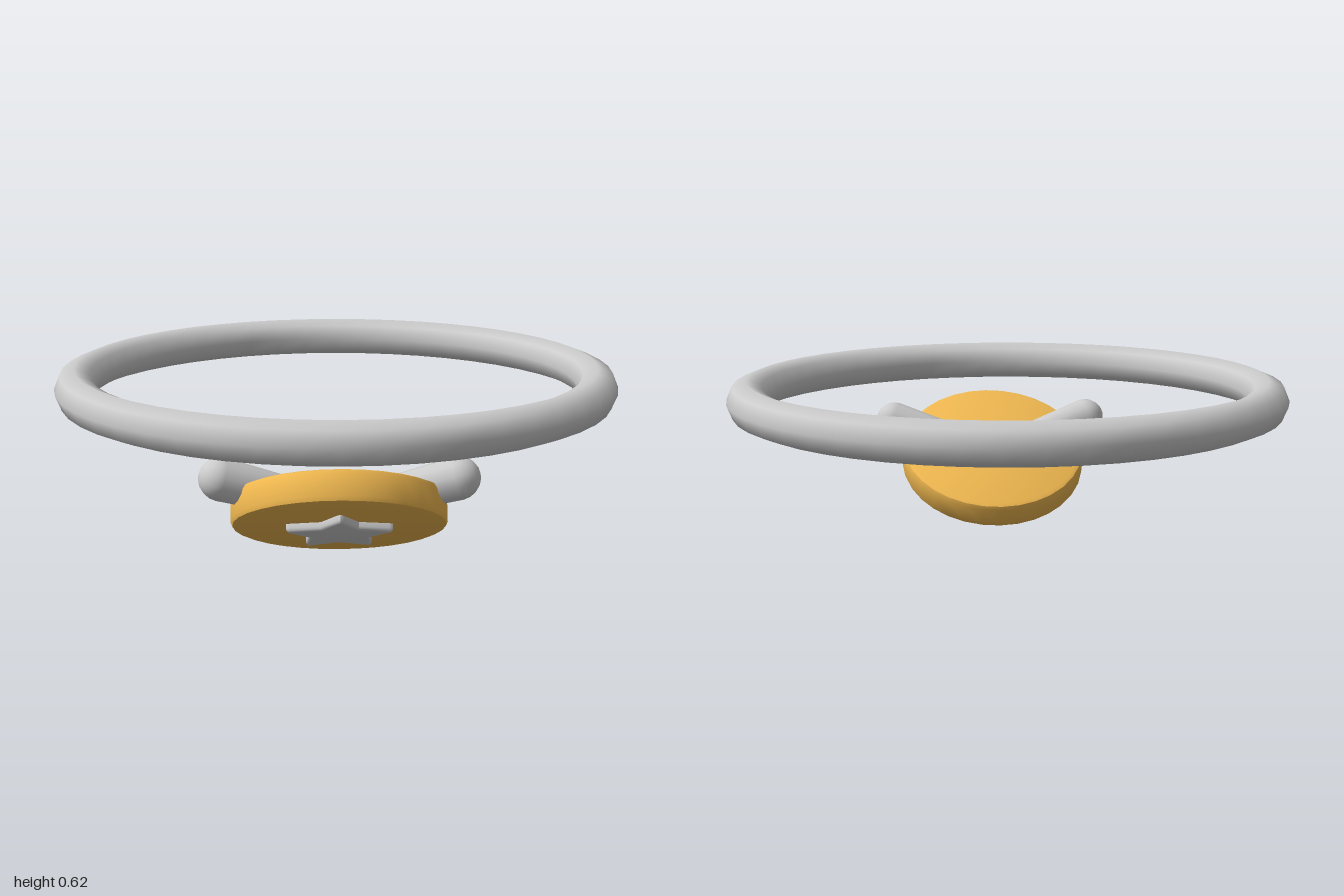
import * as THREE from 'three';
import { toCreasedNormals } from 'three/addons/utils/BufferGeometryUtils.js';

const grey = new THREE.MeshStandardMaterial({ color: 0xcccccc });
const gold = new THREE.MeshStandardMaterial({ color: 0xf0b850 });

function addMesh(parent, name, geometry, material) {
  const mesh = new THREE.Mesh(geometry, material);
  mesh.name = name;
  parent.add(mesh);
  return mesh;
}

// Five-pointed star with softened tips
function starShape(outer, inner) {
  const at = (r, i) => new THREE.Vector2(
    r * Math.sin(i * Math.PI / 5), r * Math.cos(i * Math.PI / 5));
  const shape = new THREE.Shape();
  const start = at(inner, -1);
  shape.moveTo(start.x, start.y);
  for (let i = 0; i < 10; i += 2) {
    const before = at(inner, i - 1), tip = at(outer, i), after = at(inner, i + 1);
    const a = before.clone().lerp(tip, 0.82), b = after.clone().lerp(tip, 0.82);
    shape.lineTo(a.x, a.y);
    shape.quadraticCurveTo(tip.x, tip.y, b.x, b.y);
    if (i < 8) shape.lineTo(after.x, after.y);
  }
  return shape;
}

// Tapered rod along +y with a rounded far end
function armGeometry(length, thin, thick) {
  const points = [new THREE.Vector2(0, 0), new THREE.Vector2(thin, 0)];
  for (let i = 0; i <= 5; i++) {
    const a = i / 5 * Math.PI / 2;
    points.push(new THREE.Vector2(i === 5 ? 0 : thick * Math.cos(a), length + thick * Math.sin(a)));
  }
  return new THREE.LatheGeometry(points, 12);
}

export function createModel() {
  const model = new THREE.Group();
  model.name = 'collar';

  // Horizontal band
  const band = addMesh(model, 'band', new THREE.TorusGeometry(0.927, 0.072, 8, 48), grey);
  band.rotation.x = Math.PI / 2;
  band.position.y = 0.55;

  // Tilted tag: disc with bevelled rims, star on the underside
  const tag = new THREE.Group();
  tag.name = 'tag';
  tag.position.set(0, 0.22, 0.535);
  tag.rotation.x = -Math.PI / 6;
  model.add(tag);

  const profile = [[0, -0.055], [0.338, -0.055], [0.352, -0.049], [0.358, -0.035],
    [0.358, 0.035], [0.352, 0.049], [0.338, 0.055], [0, 0.055]]
    .map(([r, y]) => new THREE.Vector2(r, y));
  addMesh(tag, 'disc', toCreasedNormals(new THREE.LatheGeometry(profile, 32), 0.6), gold);

  const starGeometry = new THREE.ExtrudeGeometry(starShape(0.193, 0.105), {
    depth: 0.02, curveSegments: 4,
    bevelThickness: 0.014, bevelSize: 0.014, bevelOffset: -0.014, bevelSegments: 3,
  });
  starGeometry.rotateX(Math.PI / 2);
  const star = addMesh(tag, 'star', toCreasedNormals(starGeometry, 0.7), grey);
  star.position.y = -0.05;

  // Two arms spreading from the disc centre
  const root = new THREE.Vector3(0, 0.23, 0.53);
  for (const side of [1, -1]) {
    const reach = new THREE.Vector3(side * 0.385, 0.355, 0.615).sub(root);
    const arm = addMesh(model, side > 0 ? 'leftArm' : 'rightArm',
      armGeometry(reach.length(), 0.055, 0.072), grey);
    arm.position.copy(root);
    arm.quaternion.setFromUnitVectors(new THREE.Vector3(0, 1, 0), reach.normalize());
  }

  return model;
}
